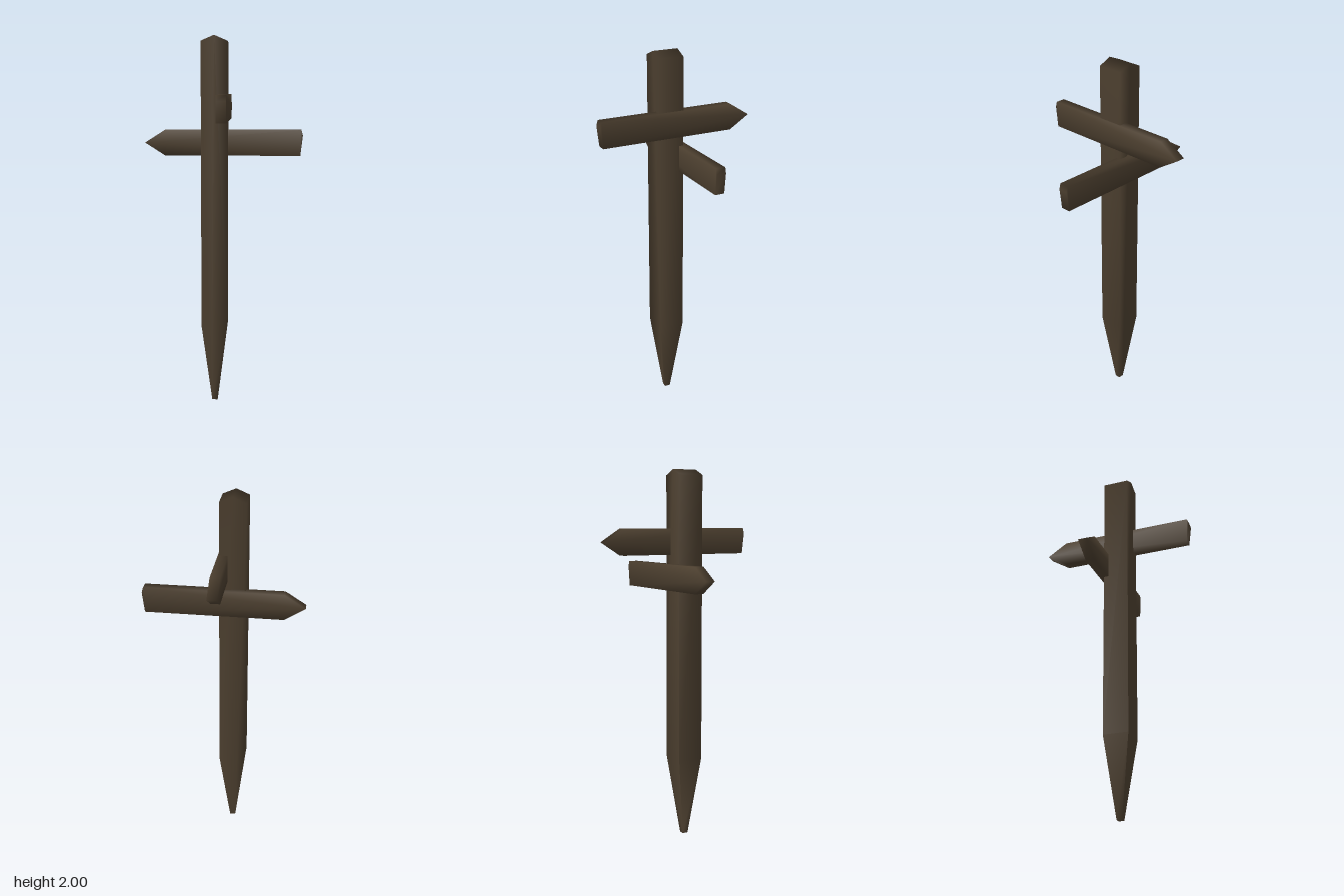
import * as THREE from 'three';
import { mergeVertices } from 'three/addons/utils/BufferGeometryUtils.js';

// Extrudes an outline, centred in depth, with every corner smoothly shaded.
// The optional rule moves the vertices before the normals are computed.
function smoothSlab(points, depth, rule) {
  const shape = new THREE.Shape(points.map(([x, y]) => new THREE.Vector2(x, y)));
  const slab = new THREE.ExtrudeGeometry(shape, { depth, bevelEnabled: false });
  slab.translate(0, 0, -depth / 2);
  slab.deleteAttribute('normal');
  slab.deleteAttribute('uv');
  const geometry = mergeVertices(slab, 1e-4);
  if (rule) rule(geometry.attributes.position);
  geometry.computeVertexNormals();
  return geometry;
}

export function createModel() {
  const group = new THREE.Group();
  const wood = new THREE.MeshStandardMaterial({ color: 0x4c3f2f });
  wood.name = 'dark wood';

  // Square post with a gabled top, sharpened to a stake on all four sides
  const half = 0.07, tip = 0.015;
  const postGeometry = smoothSlab(
    [[-tip, 0], [tip, 0], [half, 0.435], [half, 1.97], [0, 2], [-half, 1.97], [-half, 0.435]],
    half * 2,
    (p) => {
      for (let i = 0; i < p.count; i++) {
        if (p.getY(i) < 0.01) p.setZ(i, p.getZ(i) * tip / half);
      }
    }
  );
  const post = new THREE.Mesh(postGeometry, wood);
  post.name = 'post';
  post.position.set(-0.047, 0, 0.028);
  group.add(post);

  // Arrow boards: pointed at one end, roughly cut at the other
  const boardGeometry = smoothSlab(
    [[-0.43, 0], [-0.32, -0.07], [0.415, -0.07], [0.428, 0.04], [0.42, 0.07], [-0.32, 0.07]],
    0.051
  );
  const addBoard = (name, x, y, z, turn) => {
    const board = new THREE.Mesh(boardGeometry, wood);
    board.name = name;
    board.position.set(x, y, z);
    board.rotation.y = turn;
    group.add(board);
  };
  addBoard('lowerArrowBoard', 0, 1.43, -0.042, 0);
  addBoard('upperArrowBoard', 0.004, 1.62, 0, -Math.PI / 2);

  return group;
}
